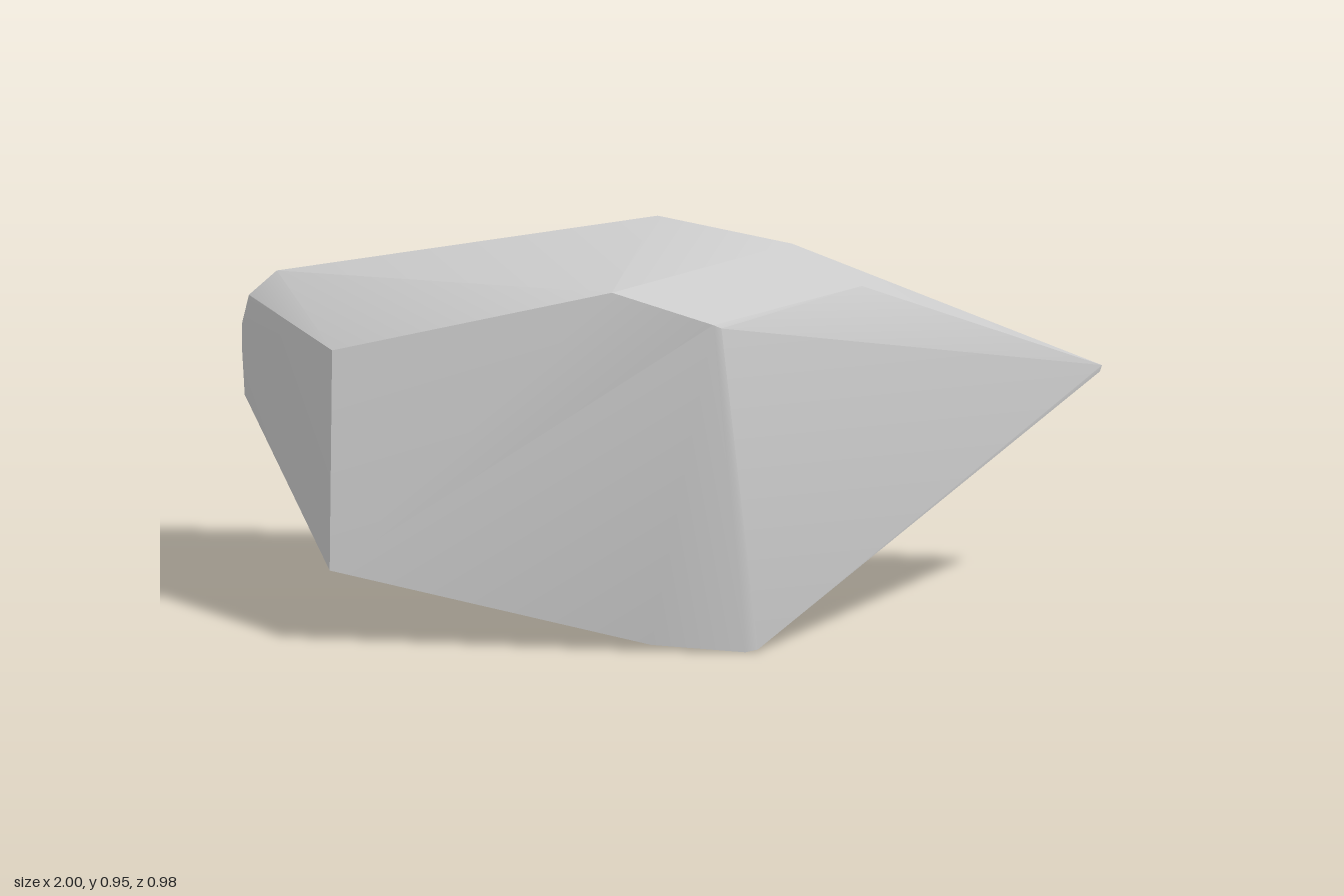
import * as THREE from 'three';
import { ConvexGeometry } from 'three/addons/geometries/ConvexGeometry.js';
import { toCreasedNormals } from 'three/addons/utils/BufferGeometryUtils.js';

// Corners of the stone, grouped by region
const crown = [
  [-0.06, 0.955, -0.015], [0.25, 0.9, 0.07], [0.4, 0.83, 0.22],
  [0.02, 0.81, 0.49], [0.04, 0.8, 0.485], [-0.21, 0.87, 0.39], [-0.85, 0.69, 0.16],
];
const point = [[1, 0.55, -0.08], [0.995, 0.535, -0.08], [0.49, 0.65, -0.2]];
const base = [
  [0.13, 0.01, 0.45], [0.1, 0.005, 0.455], [-0.12, 0.02, 0.42], [-0.87, 0.19, 0.3],
  [0.06, 0.01, 0.07], [-0.23, 0.045, 0.02], [-0.6, 0.12, 0.15], [-0.87, 0.235, -0.12],
];
const back = [[0.4, 0.3, -0.295], [0.38, 0.24, -0.28]];
// Worn, rounded end at the far left
const roundedEnd = [
  [-1, 0.45, -0.4], [-1, 0.55, -0.465], [-1, 0.61, -0.46], [-0.985, 0.68, -0.45],
  [-0.92, 0.74, -0.44], [-0.72, 0.75, -0.44], [-0.9, 0.67, -0.48], [-0.75, 0.7, -0.463],
  [-0.76, 0.62, -0.48], [-0.92, 0.58, -0.49], [-0.76, 0.55, -0.485], [-0.85, 0.49, -0.472],
];

export function createModel() {
  const group = new THREE.Group();
  group.name = 'rock';

  const corners = [...crown, ...point, ...base, ...back, ...roundedEnd]
    .map((p) => new THREE.Vector3(...p));

  // Facets stay sharp, small worn bevels blend
  const geometry = toCreasedNormals(new ConvexGeometry(corners), 0.45);
  const stone = new THREE.Mesh(geometry, new THREE.MeshStandardMaterial({ color: 0xcccccc }));
  stone.name = 'stone';
  group.add(stone);
  return group;
}
